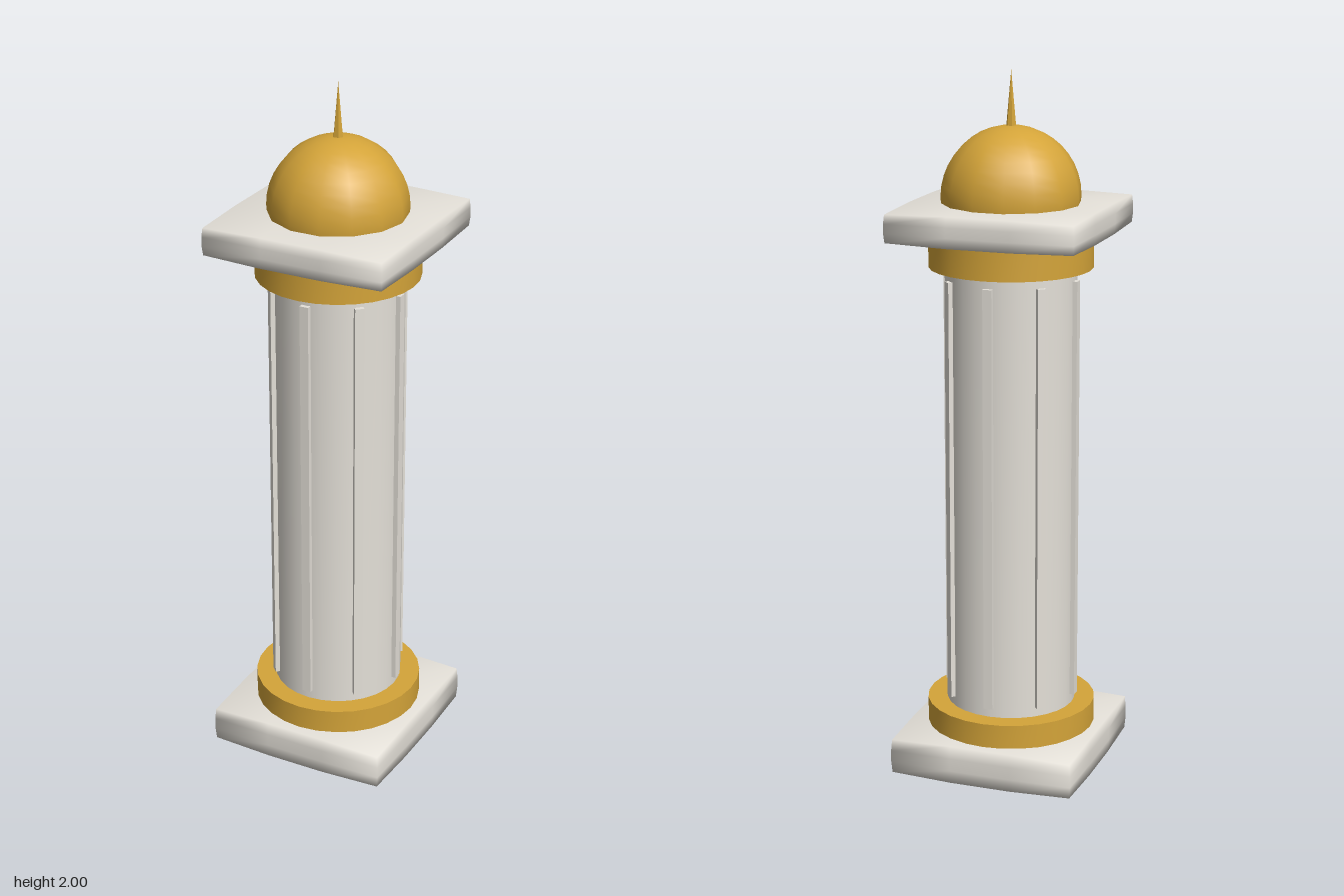
import * as THREE from 'three';
import { mergeVertices, toCreasedNormals } from 'three/addons/utils/BufferGeometryUtils.js';

export function createModel() {
  const model = new THREE.Group();
  const stone = new THREE.MeshStandardMaterial({ color: 0xe4e0d8 });
  const gold = new THREE.MeshStandardMaterial({ color: 0xd4a439 });

  const add = (name, geometry, material, y = 0) => {
    const mesh = new THREE.Mesh(geometry, material);
    mesh.name = name;
    mesh.position.y = y;
    model.add(mesh);
    return mesh;
  };

  // Square slab, softly swollen towards the middle of each face, smooth all round
  const slab = (name, bottom, top) => {
    const half = 0.267, h = (top - bottom) / 2;
    let g = new THREE.BoxGeometry(2, 2, 2, 3, 3, 3);
    g.deleteAttribute('normal');
    g.deleteAttribute('uv');
    g = mergeVertices(g);
    const p = g.attributes.position;
    for (let i = 0; i < p.count; i++) {
      const x = p.getX(i), y = p.getY(i), z = p.getZ(i);
      const swell = (a, b, k) => 1 - k * (a * a + b * b);
      p.setXYZ(i,
        x * (half + 0.006) * swell(y, z, 0.011),
        y * h * swell(x, z, 0.1) * 1.023,
        z * (half + 0.006) * swell(x, y, 0.011));
    }
    g.computeVertexNormals();
    add(name, g, stone, (bottom + top) / 2);
  };

  // Round drum between two heights with sharp rims
  const drum = (name, radius, bottom, top, sides, material) =>
    add(name, toCreasedNormals(new THREE.CylinderGeometry(radius, radius, top - bottom, sides), 0.7),
      material, (bottom + top) / 2);

  slab('baseSlab', 0, 0.122);
  drum('baseRing', 0.242, 0.11, 0.187, 28, gold);
  drum('shaft', 0.185, 0.18, 1.47, 28, stone);
  drum('capitalRing', 0.23, 1.46, 1.55, 28, gold);
  slab('capitalSlab', 1.545, 1.64);

  // Eight upright ribs around the shaft
  const ribGeometry = new THREE.BoxGeometry(0.026, 1.215, 0.026);
  for (let i = 0; i < 8; i++) {
    const a = (i * Math.PI) / 4;
    const rib = add('rib', ribGeometry, stone, 0.8225);
    rib.position.x = Math.sin(a) * 0.184;
    rib.position.z = Math.cos(a) * 0.184;
    rib.rotation.y = a;
  }

  // Dome, its lower edge sunk into the slab
  add('dome', new THREE.SphereGeometry(0.195, 14, 12, 0, Math.PI * 2, 0, Math.PI * 0.6), gold, 1.655);

  // Six-sided spike
  const spike = add('spike', toCreasedNormals(new THREE.ConeGeometry(0.015, 0.16, 6), 0.5), gold, 1.92);
  spike.rotation.y = Math.PI / 2;

  return model;
}
